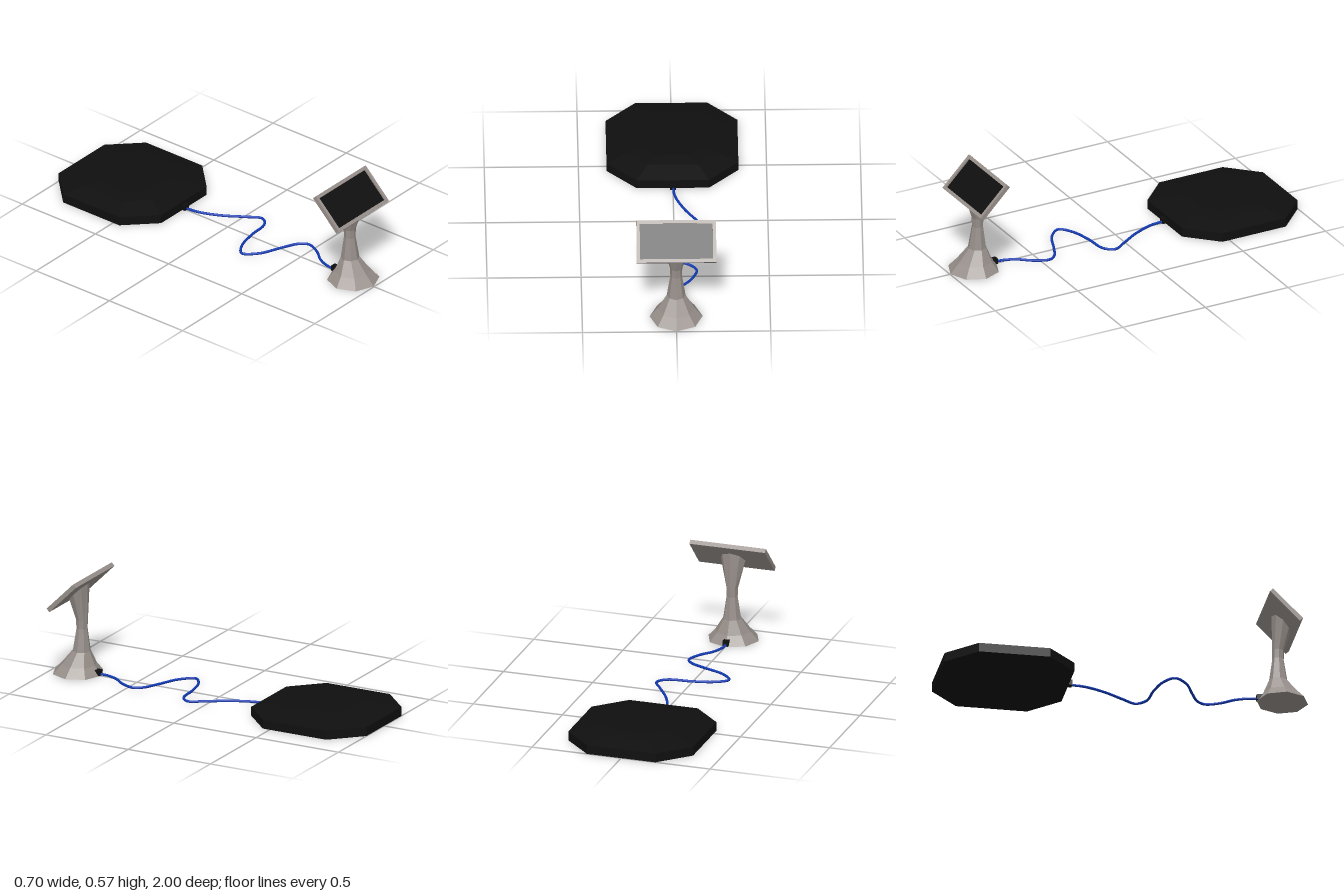
import * as THREE from 'three';

// Closed faceted solid through a stack of equal-length rings, bottom to top
function loft(rings) {
  const pos = [];
  const tri = (...pts) => pts.forEach((p) => pos.push(...p));
  const n = rings[0].length;
  const middle = (ring) => [0, 1, 2].map((k) => ring.reduce((s, p) => s + p[k], 0) / n);
  const bottom = rings[0], top = rings[rings.length - 1];
  const mb = middle(bottom), mt = middle(top);
  for (let i = 0; i < n; i++) {
    const j = (i + 1) % n;
    for (let r = 0; r < rings.length - 1; r++) {
      const lo = rings[r], hi = rings[r + 1];
      tri(lo[i], lo[j], hi[j]);
      tri(lo[i], hi[j], hi[i]);
    }
    tri(mb, bottom[j], bottom[i]);
    tri(mt, top[i], top[j]);
  }
  const g = new THREE.BufferGeometry();
  g.setAttribute('position', new THREE.Float32BufferAttribute(pos, 3));
  g.computeVertexNormals();
  return g;
}

export function createModel() {
  const model = new THREE.Group();
  const material = (name, color) => {
    const m = new THREE.MeshStandardMaterial({ color });
    m.name = name;
    return m;
  };
  const grey = material('warm grey', 0x978f8a);
  const black = material('black', 0x0f0f0f);
  const blue = material('cable blue', 0x1039b4);

  const add = (parent, name, geometry, mat, x = 0, y = 0, z = 0) => {
    const mesh = new THREE.Mesh(geometry, mat);
    mesh.name = name;
    mesh.position.set(x, y, z);
    parent.add(mesh);
    return mesh;
  };

  // Octagonal floor pad with a shallow domed top
  const corners = [[-0.192, 0.35], [0.192, 0.35], [0.35, 0.192], [0.35, -0.192],
    [0.192, -0.35], [-0.192, -0.35], [-0.35, -0.192], [-0.35, 0.192]];
  const padRings = [[0, 1], [0.05, 1], [0.075, 0.69], [0.083, 0.48]]
    .map(([y, s]) => corners.map(([x, z]) => [x * s, y, z * s]));
  add(model, 'floorPad', loft(padRings), black, 0, 0, -0.65);

  // Eight-sided pedestal: [height, centre z, x radius, z radius]
  const sections = [[0, 0.858, 0.141, 0.139], [0.05, 0.852, 0.097, 0.097],
    [0.125, 0.836, 0.05, 0.05], [0.25, 0.834, 0.031, 0.031],
    [0.3, 0.834, 0.033, 0.033], [null, 0.85, 0.07, 0.05]];
  const postRings = sections.map(([y, cz, rx, rz]) => Array.from({ length: 8 }, (_, i) => {
    const a = i * Math.PI / 4;
    const z = cz + rz * Math.cos(a);
    // The last section is cut on the slope of the display
    return [rx * Math.sin(a), y === null ? 1.307 - z : y, z];
  }));
  add(model, 'pedestal', loft(postRings), grey);

  // Tilted display: back plate, raised frame and recessed screen
  const display = new THREE.Group();
  display.name = 'display';
  display.position.set(0.001, 0.4775, 0.8425);
  display.rotation.x = -Math.PI / 4;
  model.add(display);
  const W = 0.424, H = 0.228, hw = 0.194, hh = 0.095;
  add(display, 'backPlate', new THREE.BoxGeometry(W, H, 0.012), grey, 0, 0, -0.006);
  const frame = new THREE.Shape([[-1, -1], [1, -1], [1, 1], [-1, 1]]
    .map(([x, y]) => new THREE.Vector2(x * W / 2, y * H / 2)));
  frame.holes.push(new THREE.Path([[-1, -1], [-1, 1], [1, 1], [1, -1]]
    .map(([x, y]) => new THREE.Vector2(x * hw, y * hh))));
  add(display, 'frame', new THREE.ExtrudeGeometry(frame, { depth: 0.012, bevelEnabled: false }), grey);
  add(display, 'screen', new THREE.BoxGeometry(hw * 2, hh * 2, 0.002), black, 0, 0, 0.001);

  // Winding cable between pad and pedestal, as [x, z] points on the floor
  const path = [[0, -0.3], [0.01, -0.21], [0.06, -0.09], [0.13, 0.02], [0.172, 0.095],
    [0.13, 0.145], [0, 0.162], [-0.12, 0.193], [-0.182, 0.245], [-0.125, 0.315],
    [0, 0.372], [0.085, 0.415], [0.115, 0.46], [0.085, 0.54], [0.03, 0.61], [0.002, 0.68], [0, 0.74]];
  const curve = new THREE.CatmullRomCurve3(path.map(([x, z]) => new THREE.Vector3(x, 0.01, z)));
  add(model, 'cable', new THREE.TubeGeometry(curve, 140, 0.007, 10), blue);

  // Plugs at both cable ends
  add(model, 'padPlug', new THREE.BoxGeometry(0.034, 0.03, 0.03), black, 0, 0.018, -0.294);
  add(model, 'pedestalPlug', new THREE.BoxGeometry(0.032, 0.03, 0.034), black, 0, 0.018, 0.735);

  return model;
}
